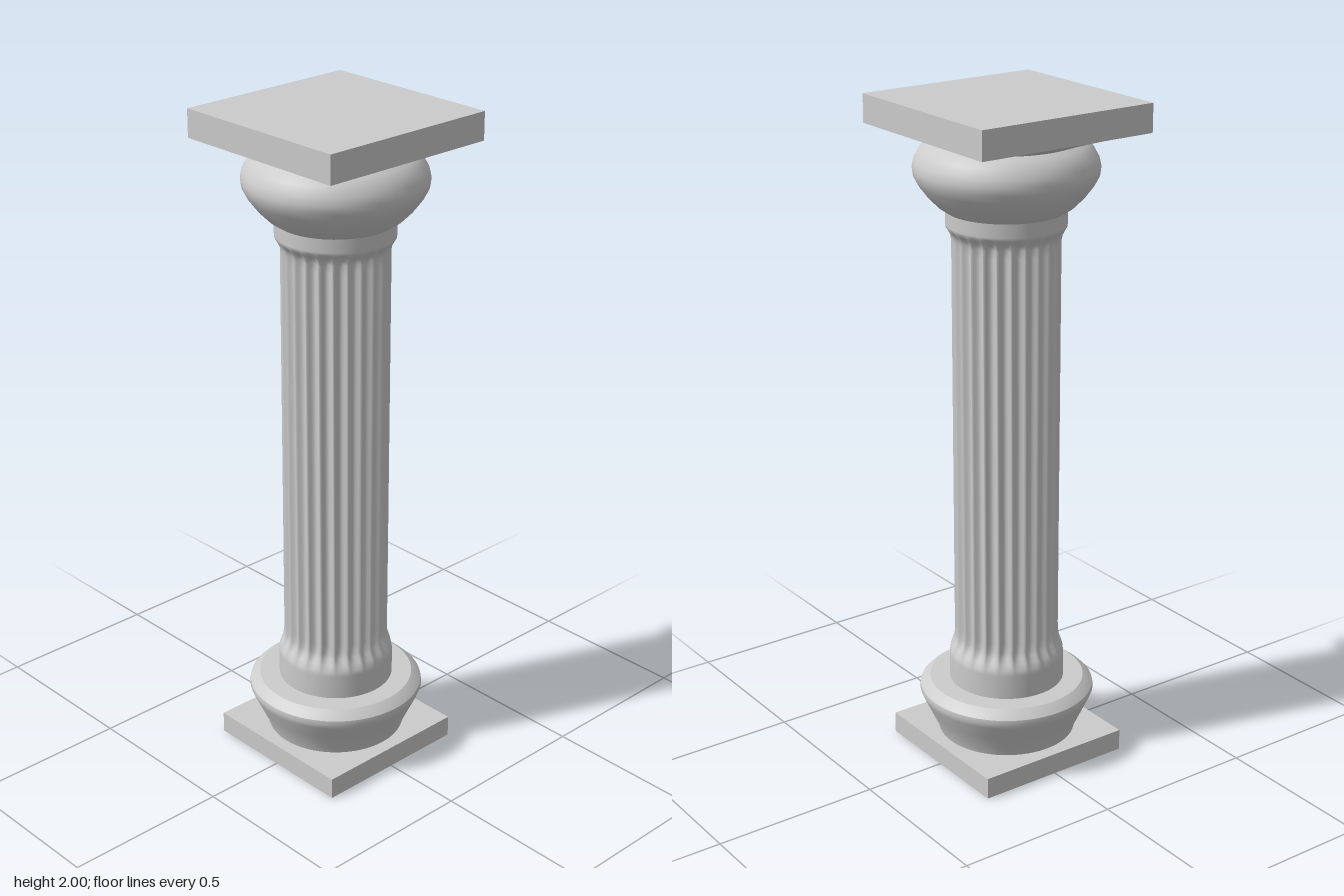
import * as THREE from 'three';
import { mergeVertices, toCreasedNormals } from 'three/addons/utils/BufferGeometryUtils.js';

const material = new THREE.MeshStandardMaterial({ color: 0xcccccc });
const FLUTES = 24;

function addMesh(group, name, geometry) {
  const mesh = new THREE.Mesh(geometry, material);
  mesh.name = name;
  group.add(mesh);
}

function slab(half, y0, y1) {
  return new THREE.BoxGeometry(half * 2, y1 - y0, half * 2).translate(0, (y0 + y1) / 2, 0);
}

function lathe(profile, segments) {
  return new THREE.LatheGeometry(profile.map(([r, y]) => new THREE.Vector2(r, y)), segments);
}

// Replaces every vertex radius by rule(radius, y, angle), then smooths the seam and normals
function reshape(geometry, rule) {
  const p = geometry.attributes.position;
  for (let i = 0; i < p.count; i++) {
    const x = p.getX(i), z = p.getZ(i);
    const angle = Math.atan2(x, z);
    const r = rule(Math.hypot(x, z), p.getY(i), angle);
    p.setX(i, r * Math.sin(angle));
    p.setZ(i, r * Math.cos(angle));
  }
  geometry.deleteAttribute('uv');
  geometry.deleteAttribute('normal');
  const merged = mergeVertices(geometry, 1e-5);
  merged.computeVertexNormals();
  return merged;
}

export function createModel() {
  const column = new THREE.Group();
  column.name = 'column';

  // Square foot
  addMesh(column, 'plinth', slab(0.247, 0, 0.065));

  // Round base moulding with a flat top
  const base = lathe([
    [0.205, 0.06], [0.212, 0.085], [0.235, 0.135], [0.257, 0.182], [0.263, 0.198],
    [0.261, 0.211], [0.249, 0.223], [0.232, 0.235], [0.16, 0.236],
  ], 64);
  addMesh(column, 'baseMoulding', toCreasedNormals(base, 0.6));

  // Shaft: plain collars at both ends, flutes fading out into them
  const shaft = lathe([
    [0.172, 0.23], [0.172, 0.31], [0.171, 0.325], [0.166, 0.342], [0.16, 0.358], [0.157, 0.375],
    [0.156, 0.4], [0.156, 1.58], [0.156, 1.605], [0.159, 1.62], [0.165, 1.632], [0.171, 1.642],
    [0.172, 1.65], [0.172, 1.7],
  ], FLUTES * 8);
  addMesh(column, 'flutedShaft', reshape(shaft, (r, y, angle) => {
    const fade = THREE.MathUtils.smoothstep(y, 0.31, 0.375)
      * (1 - THREE.MathUtils.smoothstep(y, 1.605, 1.645));
    return r - 0.014 * fade * Math.abs(Math.sin(angle * FLUTES / 2));
  }));

  // Swelling cushion of the capital
  addMesh(column, 'capitalCushion', lathe([
    [0.165, 1.685], [0.176, 1.692], [0.195, 1.705], [0.222, 1.732], [0.247, 1.765], [0.26, 1.79],
    [0.263, 1.812], [0.258, 1.835], [0.244, 1.86], [0.225, 1.877], [0.205, 1.888],
  ], 64));

  // Underside of the top slab, passing from round to square
  const flare = lathe([[0, 1.885], [0.205, 1.885], [0.245, 1.901], [0.285, 1.917]], 64);
  addMesh(column, 'abacusFlare', reshape(flare, (r, y, angle) => {
    const toSquare = 1 / Math.max(Math.abs(Math.sin(angle)), Math.abs(Math.cos(angle)));
    const t = THREE.MathUtils.clamp((y - 1.885) / 0.032, 0, 1);
    return r * THREE.MathUtils.lerp(1, toSquare, t);
  }));

  // Square top slab
  addMesh(column, 'abacus', slab(0.285, 1.917, 2));

  return column;
}
